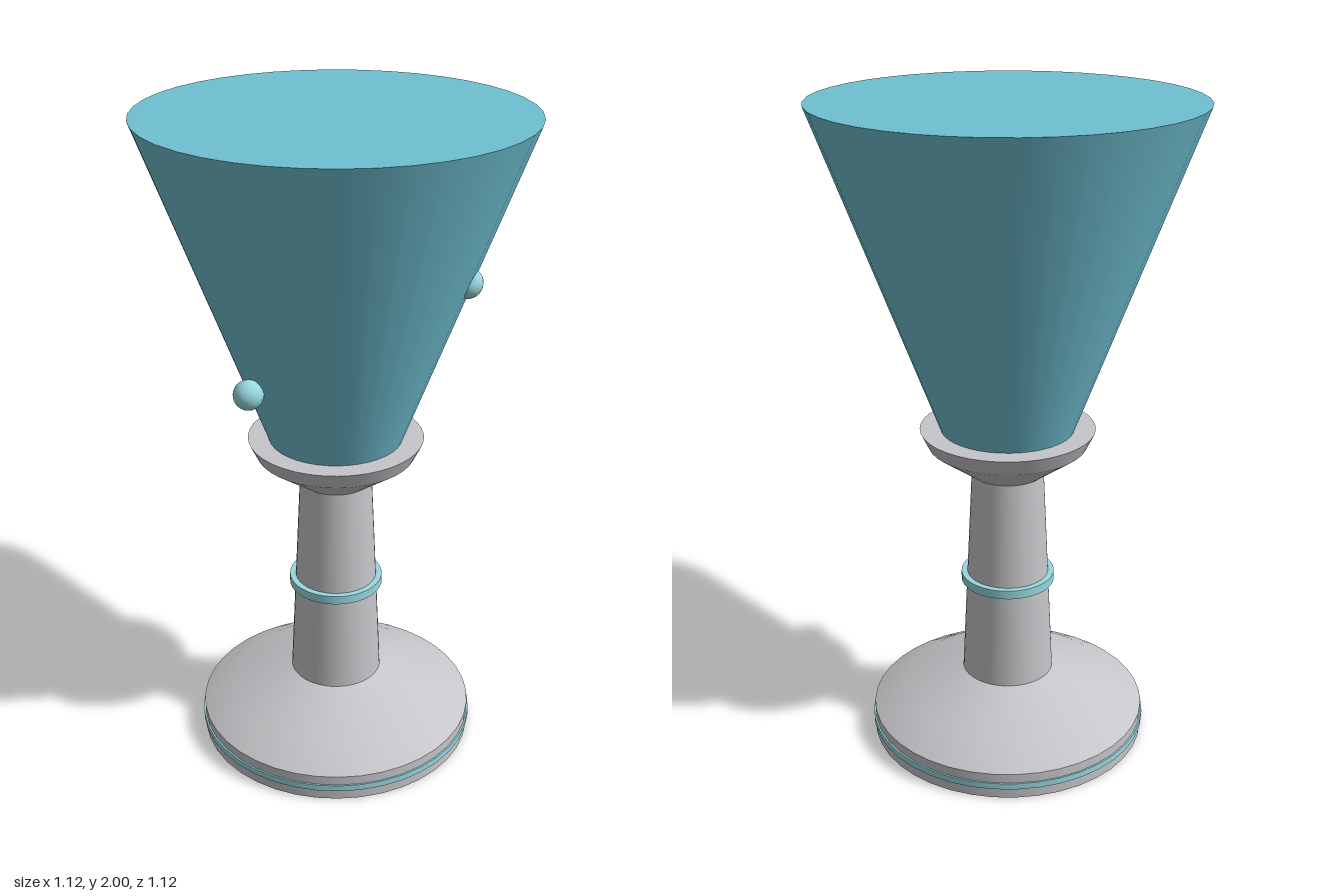
import * as THREE from 'three';
import { toCreasedNormals } from 'three/addons/utils/BufferGeometryUtils.js';

const SEGMENTS = 40;

export function createModel() {
  const group = new THREE.Group();
  const material = (name, color) => {
    const m = new THREE.MeshStandardMaterial({ color });
    m.name = name;
    return m;
  };
  const metal = material('pale grey metal', 0xc6c6ca);
  const teal = material('teal bowl', 0x6fc0d2);
  const accent = material('light aqua trim', 0x97d8de);

  const add = (name, geometry, mat, x = 0, y = 0, z = 0) => {
    const mesh = new THREE.Mesh(geometry, mat);
    mesh.name = name;
    mesh.position.set(x, y, z);
    group.add(mesh);
  };
  // Turned solid from [radius, height] pairs, listed bottom to top
  const turned = (profile) => toCreasedNormals(
    new THREE.LatheGeometry(profile.map(([r, y]) => new THREE.Vector2(r, y)), SEGMENTS), 0.3);

  // Foot, tapered stem and flared collar
  add('foot', turned([[0, 0], [0.432, 0], [0.432, 0.083], [0.327, 0.145], [0.143, 0.207], [0, 0.207]]), metal);
  add('stem', turned([[0.143, 0.205], [0.11, 0.89]]), metal);
  add('collar', turned([[0, 0.885], [0.112, 0.885], [0.24, 0.978], [0.265, 1.03], [0, 1.03]]), metal);

  // Closed conical bowl
  add('bowl', turned([[0, 1.025], [0.2, 1.025], [0.562, 2], [0, 2]]), teal);

  // Thin trim bands
  const band = (r, low, high) => turned([[0, low], [r, low], [r, high], [0, high]]);
  add('footBand', band(0.437, 0.033, 0.053), accent);
  add('stemBand', band(0.145, 0.519, 0.547), accent);

  // Beads on the bowl
  const bead = new THREE.SphereGeometry(0.044, 20, 14);
  add('frontBead', bead, accent, -0.083, 1.257, 0.31);
  add('sideBead', bead, accent, 0.37, 1.56, -0.105);

  return group;
}
